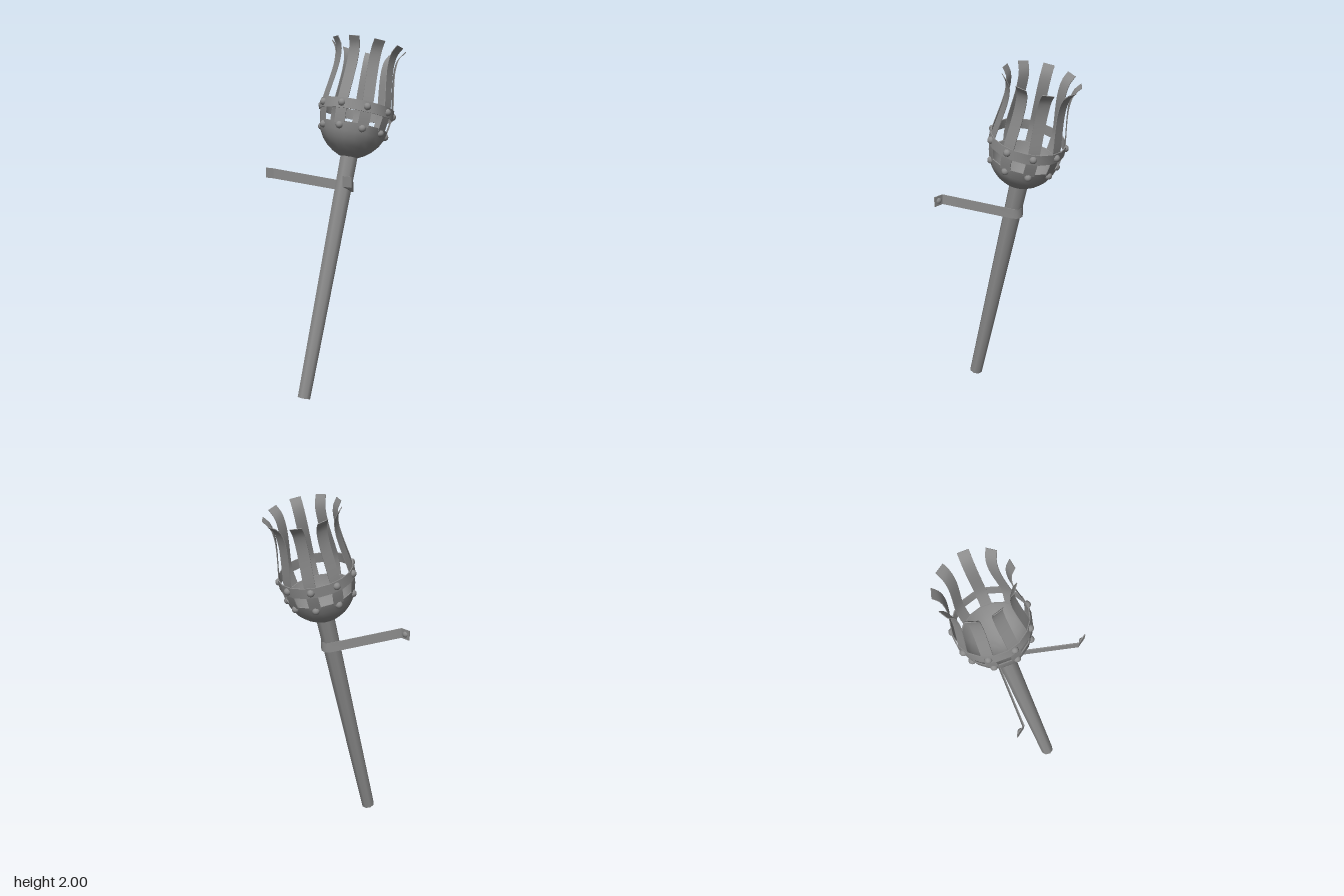
import * as THREE from 'three';
import { toCreasedNormals } from 'three/addons/utils/BufferGeometryUtils.js';

const V = (x, y, z) => new THREE.Vector3(x, y, z);
const iron = 0x8c8c8c;
const material = new THREE.MeshStandardMaterial({ color: iron });
const thin = new THREE.MeshStandardMaterial({ color: iron, side: THREE.DoubleSide });

function add(parent, name, geometry, mat = material) {
  const mesh = new THREE.Mesh(geometry, mat);
  mesh.name = name;
  parent.add(mesh);
  return mesh;
}

// Joins four-cornered cross-sections into a solid bar, closed into a loop or capped
function loft(rows, closed) {
  const pos = [];
  const quad = (a, b, c, d) => [a, b, c, a, c, d].forEach(p => pos.push(p.x, p.y, p.z));
  const n = rows.length;
  for (let i = 0; i < (closed ? n : n - 1); i++) {
    const r = rows[i], s = rows[(i + 1) % n];
    for (let k = 0; k < 4; k++) quad(r[k], r[(k + 1) % 4], s[(k + 1) % 4], s[k]);
  }
  if (!closed) {
    quad(...[...rows[0]].reverse());
    quad(...rows[n - 1]);
  }
  const g = new THREE.BufferGeometry();
  g.setAttribute('position', new THREE.Float32BufferAttribute(pos, 3));
  return toCreasedNormals(g, 0.6);
}

// Flat iron hoop with 18 sides
function hoop(y0, r0, y1, r1, thickness) {
  const rows = [];
  for (let i = 0; i < 18; i++) {
    const a = (i + 0.5) * Math.PI / 9;
    const p = (r, y) => V(r * Math.cos(a), y, r * Math.sin(a));
    rows.push([p(r0, y0), p(r1, y1), p(r1 - thickness, y1), p(r0 - thickness, y0)]);
  }
  return loft(rows, true);
}

export function createModel() {
  const model = new THREE.Group();
  model.name = 'wallTorch';

  // Everything on the leaning axis
  const torch = new THREE.Group();
  torch.name = 'torch';
  torch.position.set(-0.341, 0.0093, 0);
  torch.rotation.z = -Math.PI / 12;
  model.add(torch);

  // Tapered shaft
  const shaft = add(torch, 'shaft',
    new THREE.CylinderGeometry(0.052, 0.038, 1.37, 8, 1, false, Math.PI / 8));
  shaft.position.y = 0.685;

  // Fire basket on top of the shaft
  const basket = new THREE.Group();
  basket.name = 'basket';
  basket.position.x = -0.008;
  torch.add(basket);

  // Bowl with an outer and an inner wall
  const bowl = [[0, 1.36], [0.05, 1.367], [0.09, 1.387], [0.127, 1.414], [0.159, 1.45],
    [0.181, 1.49], [0.193, 1.538], [0.186, 1.538], [0.174, 1.492], [0.152, 1.455],
    [0.12, 1.42], [0.085, 1.395], [0.045, 1.376], [0, 1.37]];
  const bowlGeometry = new THREE.LatheGeometry(bowl.map(p => new THREE.Vector2(...p)), 18);
  add(basket, 'bowl', toCreasedNormals(bowlGeometry.toNonIndexed(), 0.8), thin);

  // Upper hoop
  add(basket, 'upperHoop', hoop(1.606, 0.211, 1.663, 0.21, 0.006));

  // Nine flared ribs, each with two domed rivets
  const ribCurve = new THREE.CatmullRomCurve3([[0.187, 1.525], [0.197, 1.58], [0.202, 1.635],
    [0.197, 1.69], [0.181, 1.79], [0.171, 1.887], [0.18, 1.962], [0.21, 2.006]]
    .map(([r, y]) => V(r, y, 0)));
  const ribRows = [];
  for (let i = 0; i <= 16; i++) {
    const p = ribCurve.getPoint(i / 16), t = ribCurve.getTangent(i / 16);
    const out = V(t.y, -t.x, 0).multiplyScalar(0.002);
    const corner = (side, z) => p.clone().addScaledVector(out, side).setZ(z);
    const h = 0.031;
    ribRows.push([corner(1, h), corner(1, -h), corner(-1, -h), corner(-1, h)]);
  }
  const ribGeometry = loft(ribRows, false);
  const rivetGeometry = new THREE.SphereGeometry(0.021, 10, 4, 0, Math.PI * 2, 0, Math.PI / 2);
  rivetGeometry.rotateZ(-Math.PI / 2);
  for (let i = 0; i < 9; i++) {
    const rib = new THREE.Group();
    rib.name = 'rib' + (i + 1);
    rib.rotation.y = i * Math.PI * 2 / 9;
    basket.add(rib);
    add(rib, 'ribStrip', ribGeometry);
    add(rib, 'upperRivet', rivetGeometry).position.set(0.206, 1.635, 0);
    const lower = add(rib, 'lowerRivet', rivetGeometry);
    lower.position.set(0.184, 1.515, 0);
    lower.rotation.z = -0.24;
  }

  // Wall bracket: a strap around the shaft with two arms and end tabs
  const half = [[-0.308, 0.338], [-0.308, 0.277], [0.004, 0.041], [0.018, 0.022]];
  const path = [...half, [0.023, 0], ...half.map(([x, z]) => [x, -z]).reverse()]
    .map(([x, z]) => V(x, 1.241 - 0.245 * (x + 0.308), z));
  const strapRows = path.map((p, i) => {
    const t = path[Math.min(i + 1, path.length - 1)].clone().sub(path[Math.max(i - 1, 0)]);
    const side = V(t.z, 0, -t.x).normalize().multiplyScalar(0.003);
    const corner = (s, y) => p.clone().addScaledVector(side, s).add(V(0, y, 0));
    return [corner(1, -0.028), corner(1, 0.028), corner(-1, 0.028), corner(-1, -0.028)];
  });
  add(model, 'bracket', loft(strapRows, false));
  for (const s of [1, -1]) {
    const rivet = add(model, s > 0 ? 'frontBracketRivet' : 'backBracketRivet', rivetGeometry);
    rivet.position.set(-0.307, 1.241, s * 0.308);
    rivet.scale.set(0.65, 0.85, 0.85);
  }
  return model;
}
